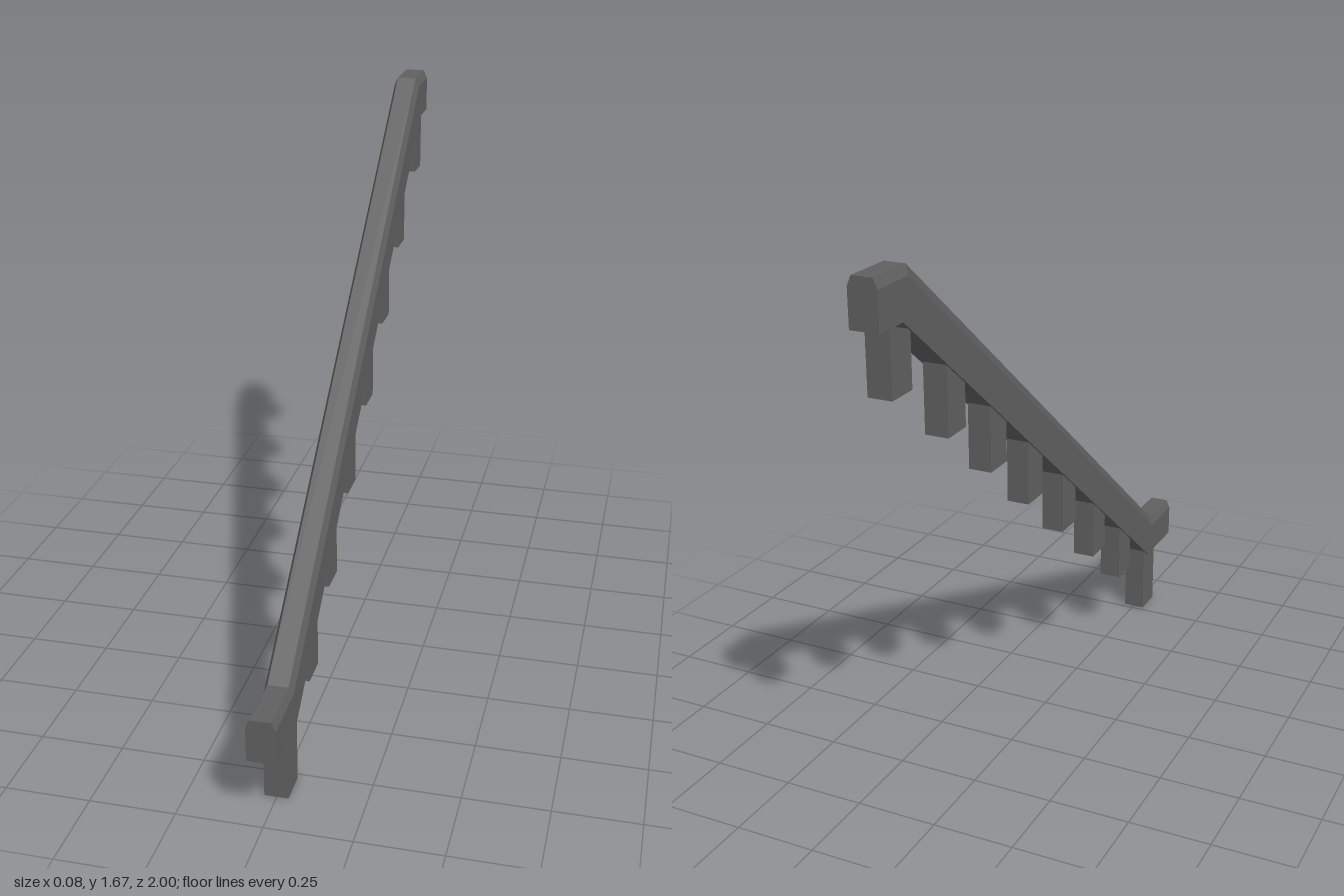
import * as THREE from 'three';

// Underside height of the rail at a given z
const underside = z => THREE.MathUtils.clamp(0.21 + (0.79 - z) * (1.33 / 1.68), 0.21, 1.54);

// Handrail: chamfered section swept through mitred stations
function railGeometry() {
  const section = [[-0.042, 0], [0.042, 0], [0.042, 0.8], [0.03, 1], [-0.03, 1], [-0.042, 0.8]];
  // each station: bottom z, bottom y, top z, top y
  const stations = [
    [1, 0.21, 1, 0.34], [0.79, 0.21, 0.83, 0.34],
    [-0.89, 1.54, -0.85, 1.675], [-1, 1.54, -1, 1.675],
  ];
  const rings = stations.map(([zb, yb, zt, yt]) => section.map(([x, t]) =>
    [x, yb + (yt - yb) * t, zb + (zt - zb) * t]));
  const pos = [];
  const tri = (a, b, c) => pos.push(...a, ...b, ...c);
  const n = section.length;
  for (let i = 0; i < rings.length - 1; i++) {
    const f = rings[i], r = rings[i + 1];
    for (let j = 0; j < n; j++) {
      const k = (j + 1) % n;
      tri(f[j], r[j], f[k]);
      tri(f[k], r[j], r[k]);
    }
  }
  // end caps
  const first = rings[0], last = rings[rings.length - 1];
  for (let j = 1; j < n - 1; j++) {
    tri(first[0], first[j], first[j + 1]);
    tri(last[0], last[j + 1], last[j]);
  }
  const g = new THREE.BufferGeometry();
  g.setAttribute('position', new THREE.Float32BufferAttribute(pos, 3));
  g.computeVertexNormals();
  return g;
}

// Post: open square tube whose top follows the rail's underside
function postGeometry(z, bottom) {
  const g = new THREE.CylinderGeometry(Math.SQRT1_2, Math.SQRT1_2, 1, 4, 1, true);
  g.rotateY(Math.PI / 4);
  g.scale(0.07, 1, 0.097);
  g.translate(-0.001, 0, z);
  const p = g.attributes.position;
  for (let i = 0; i < p.count; i++) {
    p.setY(i, p.getY(i) > 0 ? underside(p.getZ(i)) + 0.005 : bottom);
  }
  const flat = g.toNonIndexed();
  flat.computeVertexNormals();
  return flat;
}

export function createModel() {
  const model = new THREE.Group();
  model.name = 'stairHandrail';
  const grey = new THREE.MeshStandardMaterial({
    name: 'darkGrey', color: 0x606060, flatShading: true, side: THREE.DoubleSide,
  });

  const rail = new THREE.Mesh(railGeometry(), grey);
  rail.name = 'handrail';
  model.add(rail);

  // posts: centre z, bottom y
  const posts = [
    [0.815, 0], [0.576, 0.23], [0.343, 0.41], [0.1, 0.6],
    [-0.145, 0.79], [-0.383, 0.98], [-0.623, 1.165], [-0.896, 1.355],
  ];
  posts.forEach(([z, y], i) => {
    const post = new THREE.Mesh(postGeometry(z, y), grey);
    post.name = `post${i + 1}`;
    model.add(post);
  });
  return model;
}
